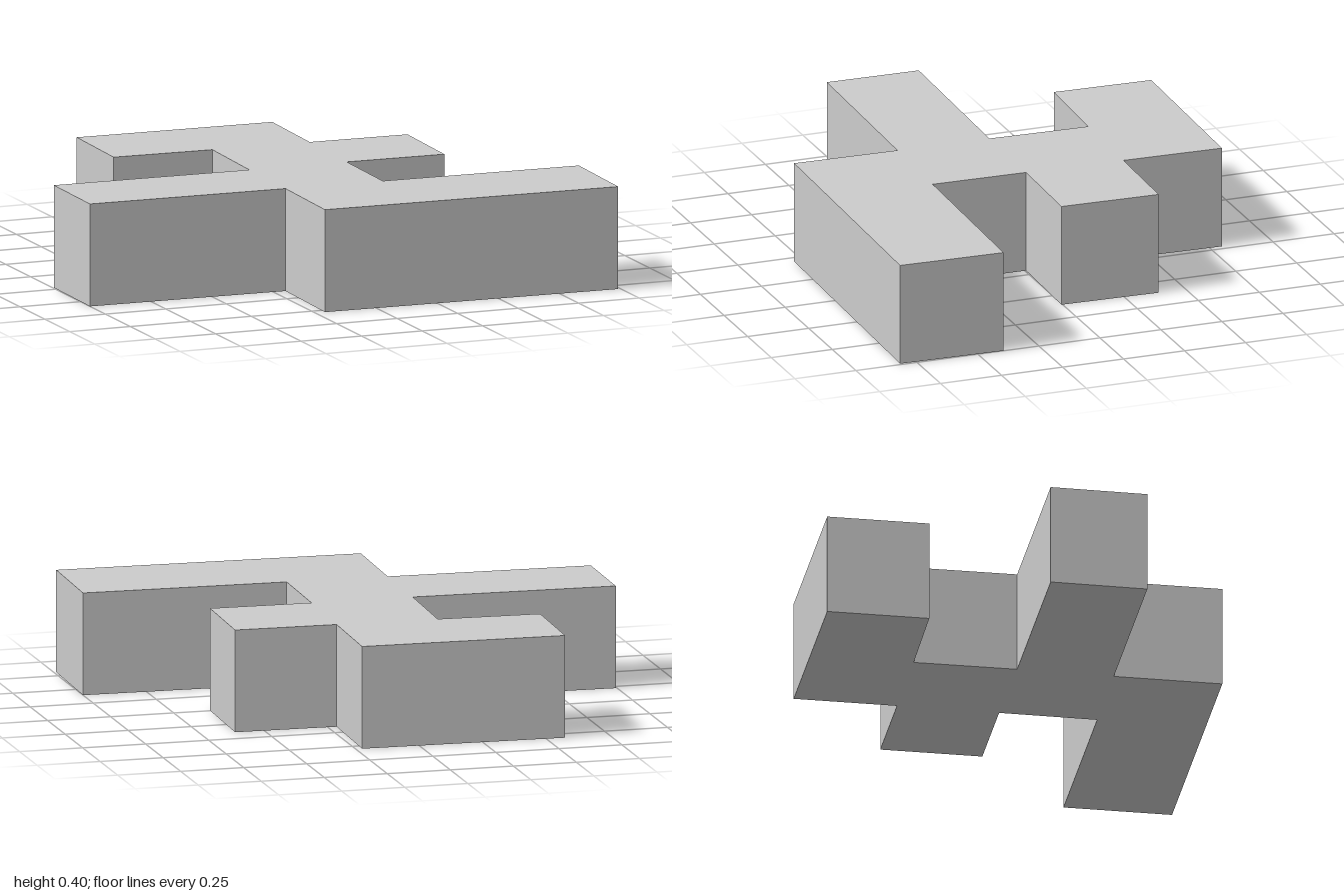
import * as THREE from 'three';

const HEIGHT = 0.4;

// Plan outline as [x, z], walked around the slab from its back-right corner
const OUTLINE = [
  [-0.575, -0.82], [0.225, -0.80],                                  // back arm
  [0.215, -0.40], [0.615, -0.39], [0.605, 0.005], [0.205, -0.005],  // short left arm
  [0.198, 0.375], [1.0, 0.395], [0.99, 0.815], [-0.21, 0.785],      // long front arm
  [-0.20, 0.365], [-1.0, 0.345], [-0.995, -0.03], [-0.195, -0.01],  // right arm
  [-0.183, -0.41], [-0.585, -0.425],                                // back arm, inner edge
];

export function createModel() {
  const group = new THREE.Group();
  group.name = 'branchedBlock';

  // Branched slab: plan outline extruded upwards
  const shape = new THREE.Shape(OUTLINE.map(([x, z]) => new THREE.Vector2(x, -z)));
  const geometry = new THREE.ExtrudeGeometry(shape, { depth: HEIGHT, bevelEnabled: false });
  geometry.rotateX(-Math.PI / 2);

  const slab = new THREE.Mesh(
    geometry,
    new THREE.MeshStandardMaterial({ color: 0xcccccc, flatShading: true })
  );
  slab.name = 'slab';
  group.add(slab);
  return group;
}
